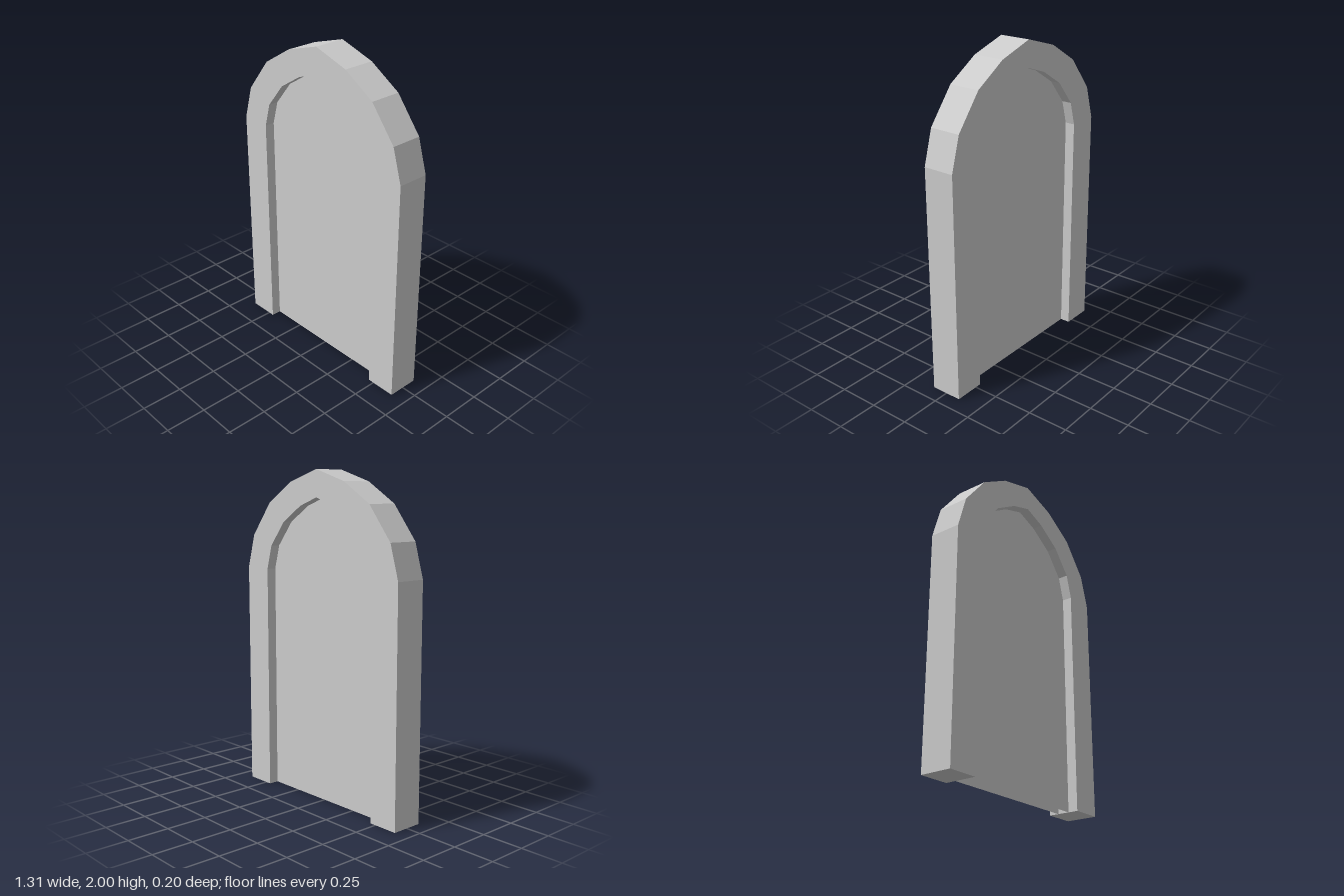
import * as THREE from 'three';

const DEPTH = 0.196; // frame thickness
const PANEL_Z = 0.036; // panel faces, recessed on both sides

// Right half of each arch, from the floor to the peak
const OUTER = [[0.653, 0], [0.653, 1.4], [0.593, 1.605], [0.432, 1.807], [0.23, 1.93], [0, 2]];
const INNER = [[0.462, 0], [0.462, 1.397], [0.421, 1.543], [0.299, 1.692], [0.143, 1.79], [0, 1.84]];

// Mirror a half profile into a full arch running from +x over the peak to -x
function arch(half) {
  const mirrored = half.slice(0, -1).reverse().map(([x, y]) => [-x, y]);
  return [...half, ...mirrored].map(([x, y]) => new THREE.Vector2(x, y));
}

export function createModel() {
  const model = new THREE.Group();
  model.name = 'archedDoorway';

  const stone = new THREE.MeshStandardMaterial({ color: 0xcccccc, flatShading: true });
  stone.name = 'light grey';
  stone.side = THREE.DoubleSide;

  // Frame: the band between the two arches, open at the floor
  const band = new THREE.Shape([...arch(OUTER), ...arch(INNER).reverse()]);
  const frameGeometry = new THREE.ExtrudeGeometry(band, { depth: DEPTH, bevelEnabled: false });
  frameGeometry.translate(0, 0, -DEPTH / 2);
  const frame = new THREE.Mesh(frameGeometry, stone);
  frame.name = 'archFrame';
  model.add(frame);

  // Door panels: one sheet facing each way, open underneath
  const panelGeometry = new THREE.ShapeGeometry(new THREE.Shape(arch(INNER)));
  for (const [name, turn, z] of [['frontPanel', 0, PANEL_Z], ['backPanel', Math.PI, -PANEL_Z]]) {
    const panel = new THREE.Mesh(panelGeometry, stone);
    panel.name = name;
    panel.rotation.y = turn;
    panel.position.z = z;
    model.add(panel);
  }

  return model;
}
